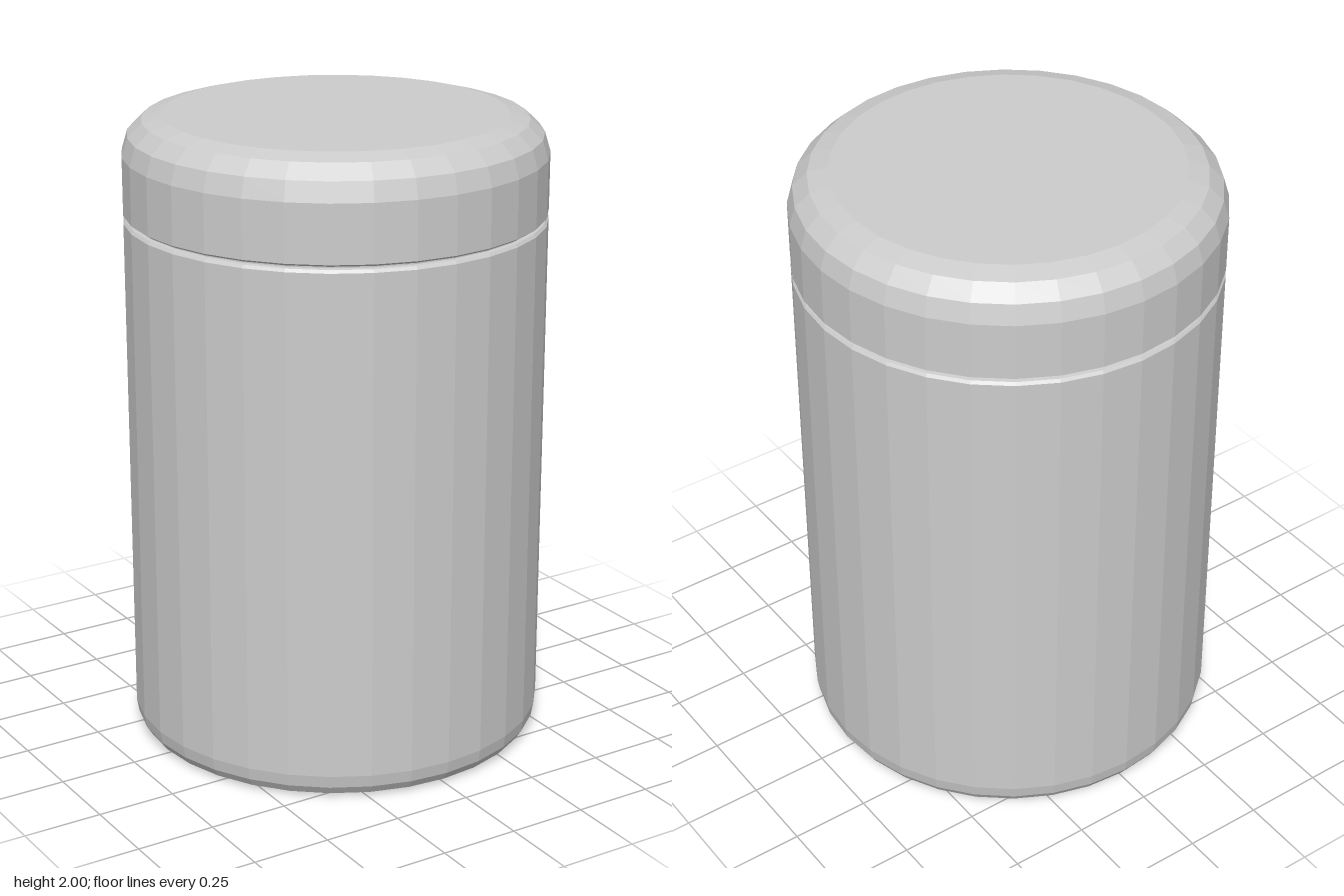
import * as THREE from 'three';

const SIDES = 32;
const material = new THREE.MeshStandardMaterial({ color: 0xcccccc, flatShading: true });

// Faceted solid turned from a bottom-to-top [radius, height] profile
function turned(name, profile) {
  const points = profile.map(([r, y]) => new THREE.Vector2(r, y));
  const geometry = new THREE.LatheGeometry(points, SIDES).toNonIndexed();
  geometry.computeVertexNormals();
  const mesh = new THREE.Mesh(geometry, material);
  mesh.name = name;
  return mesh;
}

export function createModel() {
  const jar = new THREE.Group();
  jar.name = 'lidded jar';

  // Body with a rounded foot, slightly bevelled rim and recessed neck
  jar.add(turned('body', [
    [0, 0], [0.605, 0], [0.63, 0.012], [0.648, 0.04], [0.655, 0.08],
    [0.655, 1.675], [0.648, 1.684], [0.635, 1.686], [0.635, 1.7], [0, 1.7],
  ]));

  // Lid with a rounded shoulder and flat top
  jar.add(turned('lid', [
    [0, 1.693], [0.645, 1.693], [0.655, 1.7], [0.655, 1.88],
    [0.637, 1.94], [0.592, 1.983], [0.53, 2], [0, 2],
  ]));

  return jar;
}
